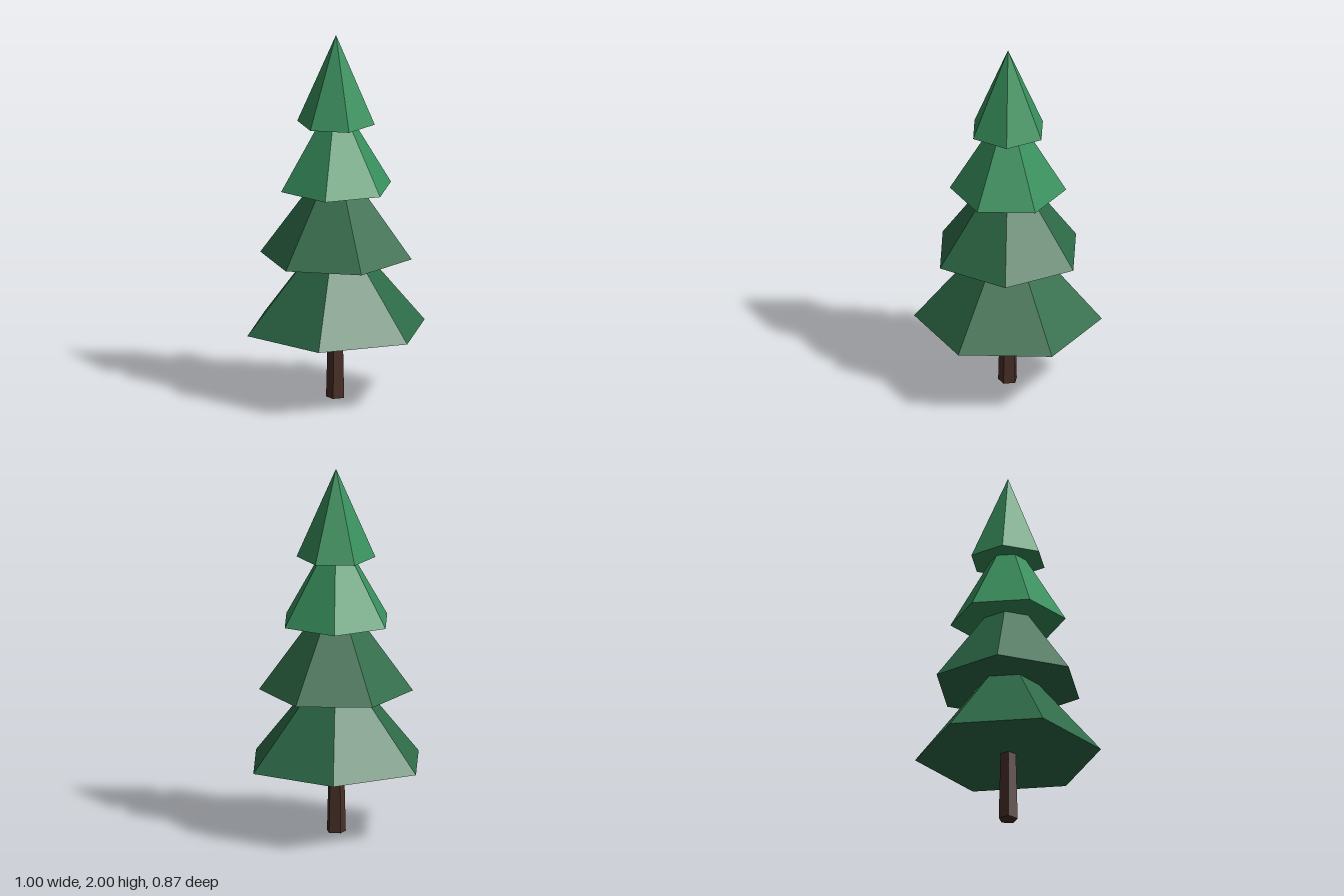
import * as THREE from 'three';

export function createModel() {
  const tree = new THREE.Group();
  tree.name = 'pineTree';

  const flat = (name, color) => {
    const m = new THREE.MeshStandardMaterial({ color, flatShading: true });
    m.name = name;
    return m;
  };
  const bark = flat('bark brown', 0x4a2f27);
  const deepGreen = flat('deep green', 0x2e6b48);
  const brightGreen = flat('bright green', 0x38905d);

  // Tapered five-sided trunk, running up inside the lowest tier
  const trunkHeight = 0.4;
  const trunk = new THREE.Mesh(
    new THREE.CylinderGeometry(0.043, 0.053, trunkHeight, 5, 1, false, Math.PI / 5),
    bark
  );
  trunk.name = 'trunk';
  trunk.position.y = trunkHeight / 2;
  tree.add(trunk);

  // Six-sided foliage cones, each turned 30 degrees from the one below
  const tiers = [
    { name: 'lowestTier', base: 0.38, tip: 0.98, radius: 0.5, material: deepGreen },
    { name: 'lowerTier', base: 0.78, tip: 1.35, radius: 0.41, material: deepGreen },
    { name: 'upperTier', base: 1.16, tip: 1.68, radius: 0.31, material: brightGreen },
    { name: 'topTier', base: 1.515, tip: 2, radius: 0.21, material: brightGreen },
  ];
  tiers.forEach(({ name, base, tip, radius, material }, i) => {
    const turn = i % 2 === 0 ? Math.PI / 6 : 0;
    const tier = new THREE.Mesh(
      new THREE.ConeGeometry(radius, tip - base, 6, 1, false, turn),
      material
    );
    tier.name = name;
    tier.position.y = (base + tip) / 2;
    tree.add(tier);
  });

  return tree;
}
